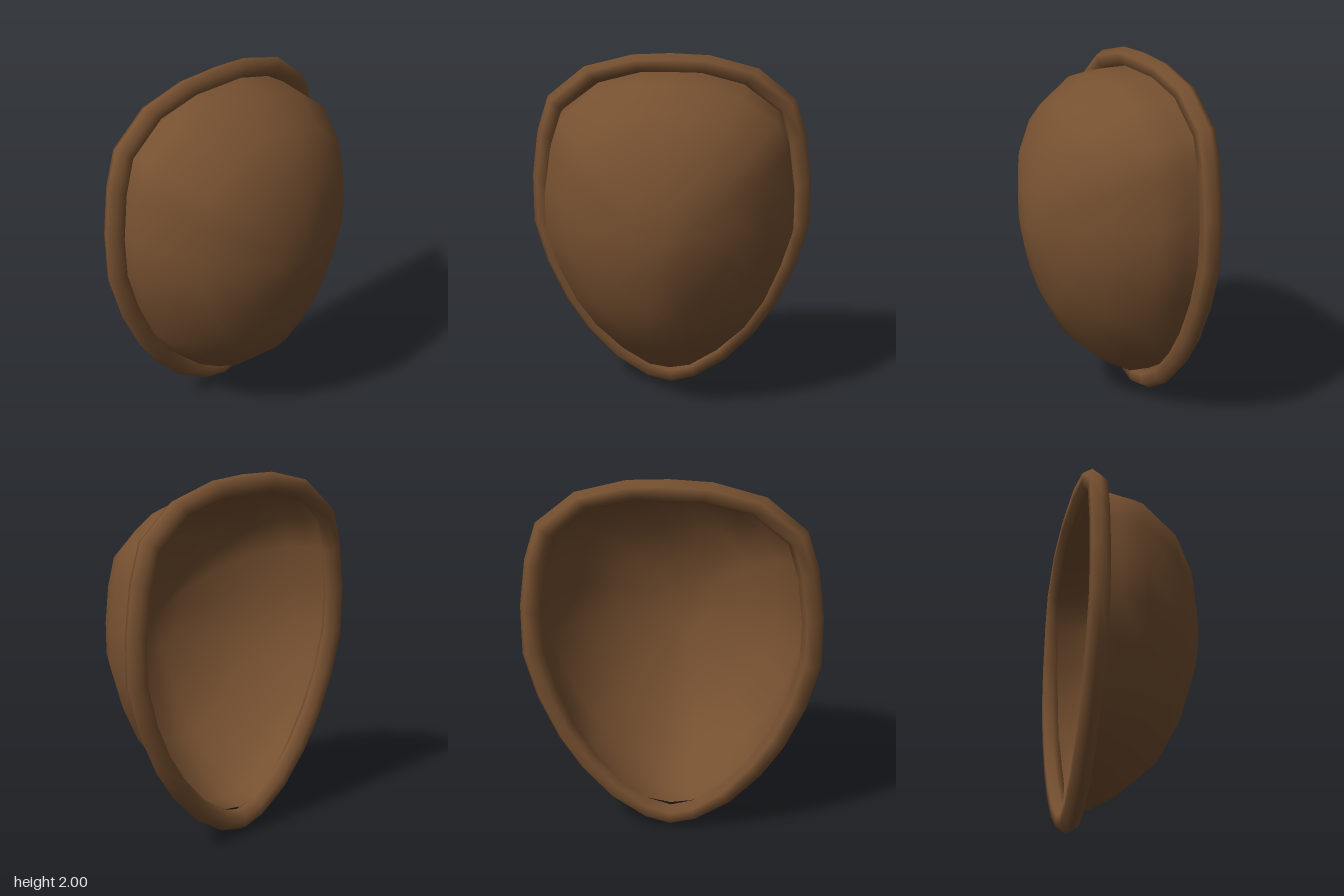
import * as THREE from 'three';

// Right halves of the two egg-shaped outlines, from top to bottom [x, y]
const RIM = [[0, 2], [0.22, 1.99], [0.49, 1.92], [0.7, 1.75], [0.765, 1.55], [0.8, 1.29], [0.8, 1.01],
  [0.73, 0.76], [0.62, 0.52], [0.5, 0.34], [0.33, 0.16], [0.14, 0.04], [0, 0.005]];
const SHELL = [[0, 1.9], [0.17, 1.895], [0.41, 1.83], [0.61, 1.68], [0.67, 1.5], [0.705, 1.25], [0.705, 1.03],
  [0.64, 0.8], [0.55, 0.58], [0.44, 0.41], [0.28, 0.26], [0.12, 0.16], [0, 0.14]];

// Full loop from a half outline
const mirrored = half => [...half, ...half.slice(1, -1).reverse().map(([x, y]) => [-x, y])];

// Smooth surface through rings of equal length; a pole ring shares one vertex
function loft(rings, { pole = false, closed = false }) {
  const n = rings[0].length, index = [];
  const id = (r, i) => (r % rings.length) * n + (pole && r === 0 ? 0 : i % n);
  for (let r = 0; r < rings.length - (closed ? 0 : 1); r++) {
    for (let i = 0; i < n; i++) {
      const a = id(r, i), b = id(r + 1, i), c = id(r + 1, i + 1), d = id(r, i + 1);
      index.push(a, c, b);
      if (a !== d) index.push(a, d, c);
    }
  }
  const geometry = new THREE.BufferGeometry();
  geometry.setAttribute('position', new THREE.Float32BufferAttribute(rings.flat(2), 3));
  geometry.setIndex(index);
  geometry.computeVertexNormals();
  return geometry;
}

export function createModel() {
  const group = new THREE.Group();
  const brown = new THREE.MeshStandardMaterial({ color: 0x765030, side: THREE.DoubleSide });
  brown.name = 'brown';

  const outer = mirrored(RIM), inner = mirrored(SHELL);
  const cy = 1.11;

  // Hollow dome: ring depth, then ring size towards the top, sides and bottom
  const profile = [
    [0.375, 0, 0, 0], [0.35, 0.3, 0.25, 0.2], [0.275, 0.6, 0.52, 0.46], [0.148, 0.81, 0.78, 0.71],
    [-0.06, 0.97, 0.98, 0.905], [-0.2, 1, 1, 0.99], [-0.32, 1, 1, 1],
  ];
  const shellRings = profile.map(([z, up, side, down]) => inner.map(([x, y]) => {
    const t = (y - cy) / Math.hypot(x, y - cy);
    const s = THREE.MathUtils.lerp(side, t > 0 ? up : down, t * t);
    return [x * s, cy + (y - cy) * s, z];
  }));
  const shell = new THREE.Mesh(loft(shellRings, { pole: true }), brown);
  shell.name = 'shell';

  // Six-sided rolled rim around the open back
  const radius = 0.06;
  const rimRings = Array.from({ length: 6 }, (_, k) => {
    const angle = Math.PI - k * Math.PI / 3;
    return outer.map(([x, y], i) => {
      const dx = x - inner[i][0], dy = y - inner[i][1], len = Math.hypot(dx, dy);
      const inset = radius * (Math.cos(angle) - 1) / len;
      return [x + dx * inset, y + dy * inset, -0.32 + radius * 0.95 * Math.sin(angle)];
    });
  });
  const rim = new THREE.Mesh(loft(rimRings, { closed: true }), brown);
  rim.name = 'rim';

  group.add(shell, rim);
  return group;
}
